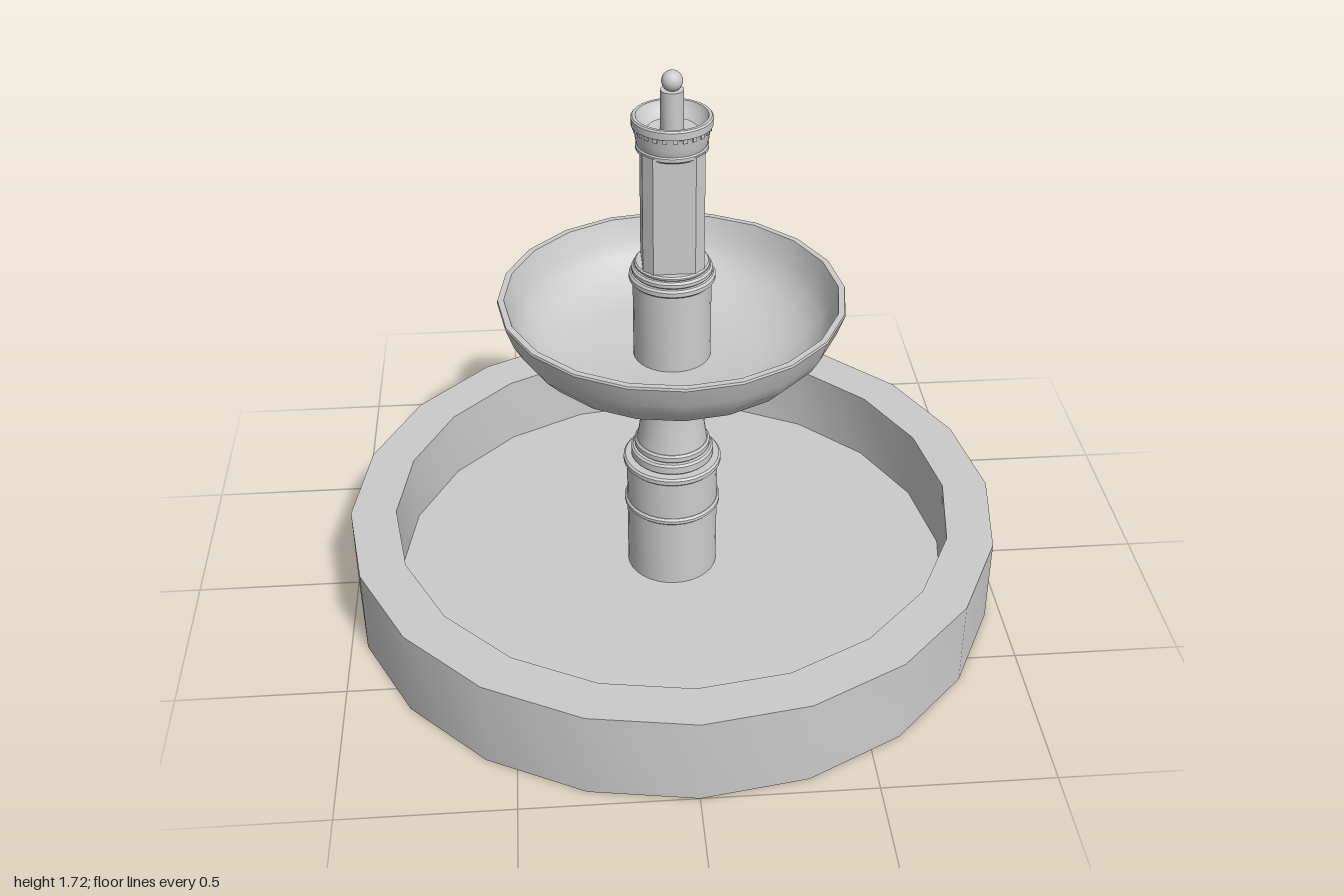
import * as THREE from 'three';
import { toCreasedNormals } from 'three/addons/utils/BufferGeometryUtils.js';

const material = new THREE.MeshStandardMaterial({ color: 0xcccccc });

function add(group, name, geometry, y = 0) {
  const mesh = new THREE.Mesh(geometry, material);
  mesh.name = name;
  mesh.position.y = y;
  group.add(mesh);
  return mesh;
}

// Turned part from [radius, height] pairs, running up the outside
function turned(group, name, profile, sides = 32) {
  const points = profile.map(([r, y]) => new THREE.Vector2(r, y));
  return add(group, name, toCreasedNormals(new THREE.LatheGeometry(points, sides), 0.6));
}

// Moulding ring with a slightly rounded edge
function ring(group, name, r, y0, y1) {
  const b = Math.min(0.006, (y1 - y0) / 3);
  return turned(group, name, [[0, y0], [r - b, y0], [r, y0 + b], [r, y1 - b], [r - b, y1], [0, y1]]);
}

export function createModel() {
  const fountain = new THREE.Group();
  fountain.name = 'fountain';

  // Wide lower basin with a raised floor
  turned(fountain, 'basin',
    [[0, 0], [1, 0], [1, 0.275], [0.86, 0.275], [0.86, 0.05], [0, 0.05]], 20);

  // Pedestal and its mouldings
  turned(fountain, 'pedestal', [[0, 0.05], [0.14, 0.05], [0.14, 0.44], [0, 0.44]]);
  ring(fountain, 'pedestalLowerRing', 0.148, 0.28, 0.302);
  ring(fountain, 'pedestalUpperRing', 0.15, 0.43, 0.455);
  ring(fountain, 'pedestalStepLower', 0.126, 0.455, 0.49);
  ring(fountain, 'pedestalStepUpper', 0.115, 0.49, 0.517);

  // Waisted neck below the bowl
  const waist = new THREE.CatmullRomCurve3(
    [[0.108, 0.51], [0.099, 0.57], [0.091, 0.65], [0.097, 0.71], [0.111, 0.77]]
      .map(([r, y]) => new THREE.Vector3(r, y, 0)));
  turned(fountain, 'neck', waist.getPoints(14).map(p => [p.x, p.y]));
  ring(fountain, 'neckRing', 0.115, 0.768, 0.81);

  // Upper bowl: outside, rim, then inside back to the middle
  turned(fountain, 'bowl', [
    [0, 0.797], [0.275, 0.797], [0.35, 0.818], [0.417, 0.856], [0.462, 0.905], [0.487, 0.95],
    [0.51, 1.015], [0.508, 1.022], [0.49, 1.022],
    [0.468, 0.955], [0.443, 0.912], [0.4, 0.872], [0.34, 0.842], [0.27, 0.825], [0, 0.82],
  ], 20);

  // Upper pedestal rising through the bowl
  turned(fountain, 'upperPedestal', [[0, 0.81], [0.115, 0.81], [0.115, 1.08], [0, 1.08]]);
  ring(fountain, 'upperPedestalRing', 0.126, 1.075, 1.1);
  ring(fountain, 'upperPedestalStep', 0.118, 1.1, 1.122);
  ring(fountain, 'shaftBase', 0.11, 1.122, 1.136);

  // Square shaft with chamfered corners
  const h = 0.088, c = 0.06;
  const section = new THREE.Shape(
    [[c, -h], [h, -c], [h, c], [c, h], [-c, h], [-h, c], [-h, -c], [-c, -h]]
      .map(([x, y]) => new THREE.Vector2(x, y)));
  const shaft = new THREE.ExtrudeGeometry(section, { depth: 0.37, bevelEnabled: false });
  shaft.rotateX(-Math.PI / 2);
  add(fountain, 'shaft', shaft, 1.13);

  // Capital, hollowed at the top
  ring(fountain, 'capitalLowerRing', 0.103, 1.488, 1.51);
  turned(fountain, 'capital', [
    [0, 1.5], [0.096, 1.5], [0.1, 1.51], [0.104, 1.53], [0.106, 1.552], [0.108, 1.562],
    [0.115, 1.566], [0.115, 1.587], [0.111, 1.592], [0.102, 1.592],
    [0.092, 1.568], [0.07, 1.55], [0, 1.545],
  ]);

  // Small dentils under the capital rim
  const dentils = new THREE.Group();
  dentils.name = 'dentils';
  for (let i = 0; i < 24; i++) {
    const a = (i / 24) * Math.PI * 2;
    const dentil = add(dentils, 'dentil', new THREE.BoxGeometry(0.012, 0.012, 0.01), 1.558);
    dentil.position.x = Math.sin(a) * 0.106;
    dentil.position.z = Math.cos(a) * 0.106;
    dentil.rotation.y = a;
  }
  fountain.add(dentils);

  // Spout with a ball finial
  turned(fountain, 'spout', [[0, 1.54], [0.033, 1.54], [0.033, 1.667], [0, 1.667]], 20);
  add(fountain, 'finialBall', new THREE.SphereGeometry(0.03, 20, 14), 1.692);

  return fountain;
}
